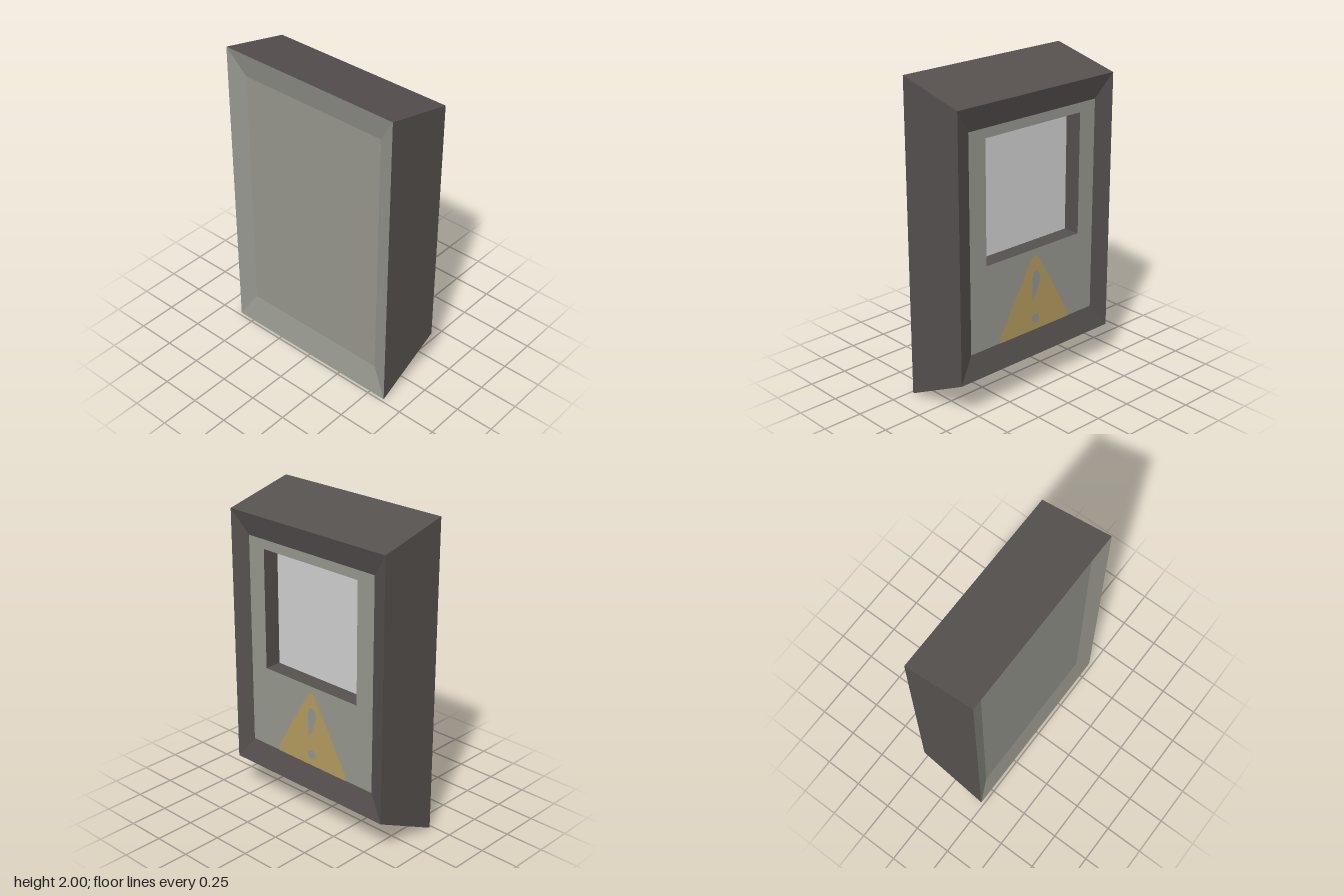
import * as THREE from 'three';

const material = (name, color) => {
  const m = new THREE.MeshStandardMaterial({ color });
  m.name = name;
  return m;
};

// Rectangular loop at depth x, anticlockwise as seen from +x
const loop = (x, y0, y1, halfZ) => [
  [x, y0, halfZ], [x, y0, -halfZ], [x, y1, -halfZ], [x, y1, halfZ],
];

// Flat quads joining consecutive loops
function bands(...loops) {
  const pos = [];
  for (let k = 0; k + 1 < loops.length; k++) {
    const a = loops[k], b = loops[k + 1];
    for (let i = 0; i < 4; i++) {
      const j = (i + 1) % 4;
      pos.push(...a[i], ...a[j], ...b[j], ...a[i], ...b[j], ...b[i]);
    }
  }
  const g = new THREE.BufferGeometry();
  g.setAttribute('position', new THREE.Float32BufferAttribute(pos, 3));
  g.computeVertexNormals();
  return g;
}

const polygon = (pts) => new THREE.Shape(pts.map(([u, y]) => new THREE.Vector2(u, y)));
const rect = (h, y0, y1) => polygon([[-h, y0], [h, y0], [h, y1], [-h, y1]]);

// Flat shape turned to face +x (shape u axis runs toward -z)
const facePlate = (shape, x) =>
  new THREE.ShapeGeometry(shape, 10).rotateY(Math.PI / 2).translate(x, 0, 0);

export function createModel() {
  const group = new THREE.Group();
  const casing = material('dark casing', 0x56514f);
  const panelGrey = material('panel grey', 0x96978e);
  const screenGrey = material('screen light grey', 0xd0d0d0);
  const yellow = material('warning yellow', 0xb49c5d);
  const markGrey = material('mark blue grey', 0x8f9695);

  const add = (name, geometry, mat) => {
    const mesh = new THREE.Mesh(geometry, mat);
    mesh.name = name;
    group.add(mesh);
  };

  const backOuter = loop(-0.23, 0, 2, 0.61);
  const backInner = loop(-0.19, 0.18, 1.83, 0.5);
  const frontOuter = loop(0.23, 0.23, 1.89, 0.61);
  const frontInner = loop(0.19, 0.38, 1.74, 0.5);

  // Casing: sloped box with the bevelled frame around the face
  add('casing', bands(backOuter, frontOuter, frontInner), casing);

  // Shallow bevelled back
  add('backBevel', bands(backInner, backOuter), panelGrey);
  add('backPanel', new THREE.PlaneGeometry(1, 1.65)
    .rotateY(-Math.PI / 2).translate(-0.19, 1.005, 0), panelGrey);

  // Face panel with the screen opening
  const face = rect(0.5, 0.38, 1.74);
  face.holes.push(rect(0.375, 0.91, 1.68));
  add('facePanel', facePlate(face, 0.19), panelGrey);

  // Recessed screen
  add('screenRecess', bands(loop(0.19, 0.91, 1.68, 0.375), loop(0.08, 0.91, 1.68, 0.375)), casing);
  add('screen', facePlate(rect(0.375, 0.91, 1.68), 0.08), screenGrey);

  // Warning triangle with its mark
  const triangle = polygon([
    [-0.27, 0.38], [0.295, 0.38], [0.29, 0.42], [0.04, 0.85],
    [0.02, 0.87], [-0.005, 0.865], [-0.03, 0.83], [-0.27, 0.42],
  ]);
  add('warningTriangle', facePlate(triangle, 0.193), yellow);
  const stroke = polygon([
    [-0.01, 0.58], [0.015, 0.61], [0.045, 0.68], [0.05, 0.74],
    [0.03, 0.77], [-0.005, 0.765], [-0.015, 0.72], [-0.012, 0.64],
  ]);
  add('markStroke', facePlate(stroke, 0.196), markGrey);
  const dot = new THREE.Shape().absellipse(0.015, 0.455, 0.032, 0.03, 0, Math.PI * 2);
  add('markDot', facePlate(dot, 0.196), markGrey);

  return group;
}
